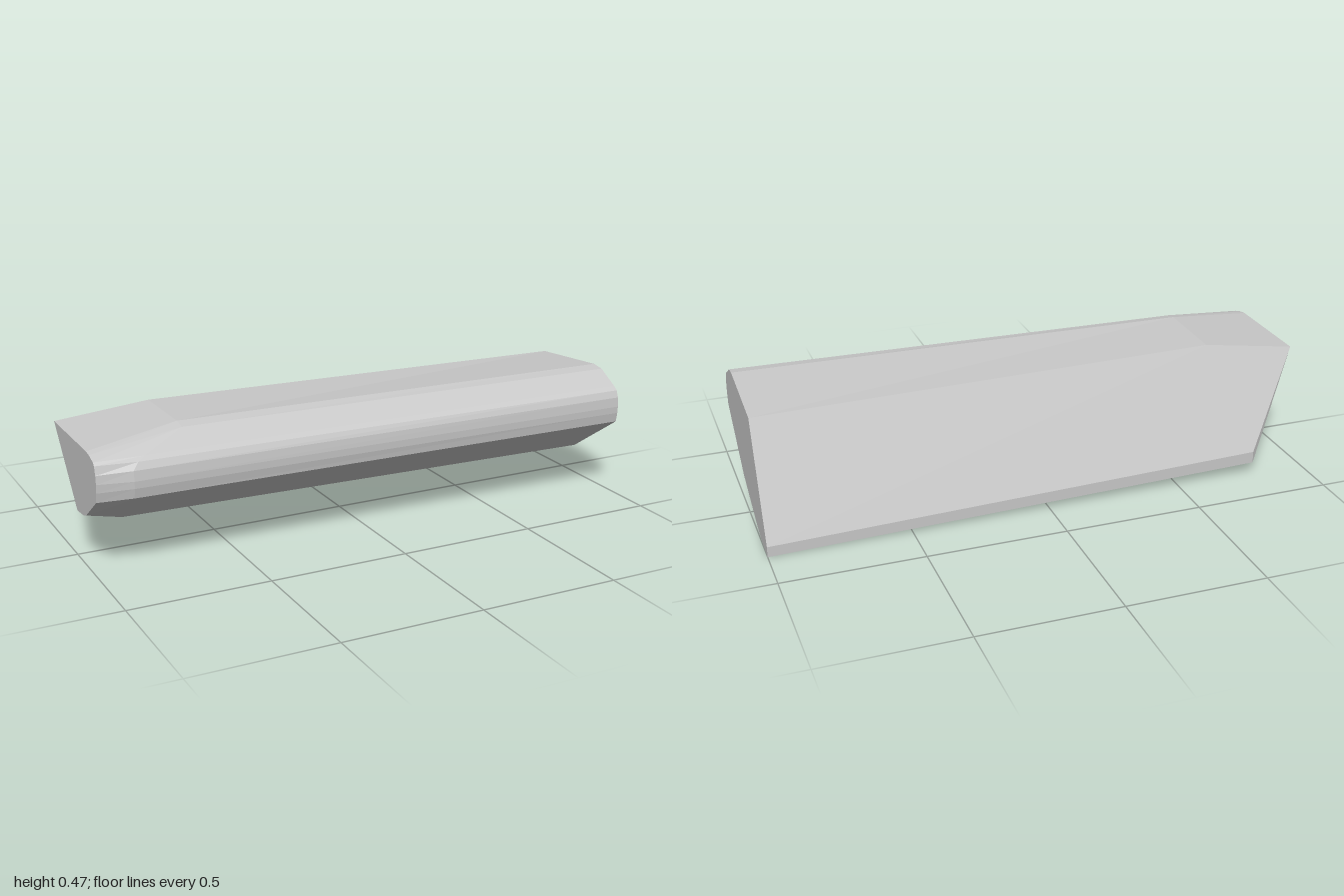
import * as THREE from 'three';

// Cross-sections as [x, y, z], running ridge -> front nose -> underside -> rear lip
const squareEnd = [
  [.438, -.157], [.466, .17], [.459, .217], [.412, .3], [.4, .316], [.375, .326],
  [.34, .329], [.315, .328], [.28, .322], [.112, .075], [.1, .045], [.025, -.155],
  [.012, -.2], [.004, -.25], [.002, -.327], [.04, -.327],
].map(([y, z]) => [1, y, z]);

// where the straight body begins to taper
const knee = [
  [-.67, .465, -.157], [-.67, .469, .125], [-.67, .46, .17], [-.83, .412, .255],
  [-.86, .4, .272], [-.88, .375, .283], [-.88, .34, .287], [-.88, .315, .286],
  [-.88, .28, .279], [-.86, .14, .075], [-.85, .128, .045], [-.82, .066, -.155],
  [-.81, .054, -.2], [-.8, .047, -.25], [-.8, .045, -.327], [-.8, .088, -.327],
];

// the underside and rear lip close onto the slanted rear corner
const taperedEnd = [
  [.425, -.19], [.426, .17], [.422, .2], [.41, .24], [.4, .25], [.37, .258],
  [.34, .26], [.31, .258], [.275, .25], [.19, .13], [.18, .1], [.173, .03],
  [.173, .03], [.173, .03], [.173, .03], [.425, -.19],
].map(([y, z]) => [-1, y, z]);

function meshFromTriangles(name, triangles, material) {
  const geometry = new THREE.BufferGeometry();
  geometry.setAttribute('position', new THREE.Float32BufferAttribute(triangles.flat(2), 3));
  geometry.computeVertexNormals();
  const mesh = new THREE.Mesh(geometry, material);
  mesh.name = name;
  return mesh;
}

const same = (a, b) => a.every((v, i) => v === b[i]);

function addTriangle(list, a, b, c) {
  if (!same(a, b) && !same(b, c) && !same(a, c)) list.push([a, b, c]);
}

// skin between neighbouring cross-sections
function loft(rings) {
  const list = [];
  for (let r = 0; r < rings.length - 1; r++) {
    const A = rings[r], B = rings[r + 1];
    for (let i = 0; i < A.length; i++) {
      const j = (i + 1) % A.length;
      addTriangle(list, A[i], B[i], B[j]);
      addTriangle(list, A[i], B[j], A[j]);
    }
  }
  return list;
}

// flat end closed around its middle
function cap(ring, reversed) {
  const list = [];
  const middle = [0, 1, 2].map(k => ring.reduce((s, p) => s + p[k], 0) / ring.length);
  ring.forEach((p, i) => {
    const q = ring[(i + 1) % ring.length];
    if (reversed) addTriangle(list, middle, q, p);
    else addTriangle(list, middle, p, q);
  });
  return list;
}

export function createModel() {
  const group = new THREE.Group();
  group.name = 'taperedBlock';
  const grey = new THREE.MeshStandardMaterial({ color: 0xc8c8c8 });
  grey.name = 'light grey';
  grey.flatShading = true;

  group.add(
    meshFromTriangles('bodyShell', loft([squareEnd, knee, taperedEnd]), grey),
    meshFromTriangles('squareEndFace', cap(squareEnd, false), grey),
    meshFromTriangles('taperedEndFace', cap(taperedEnd, true), grey),
  );
  return group;
}
